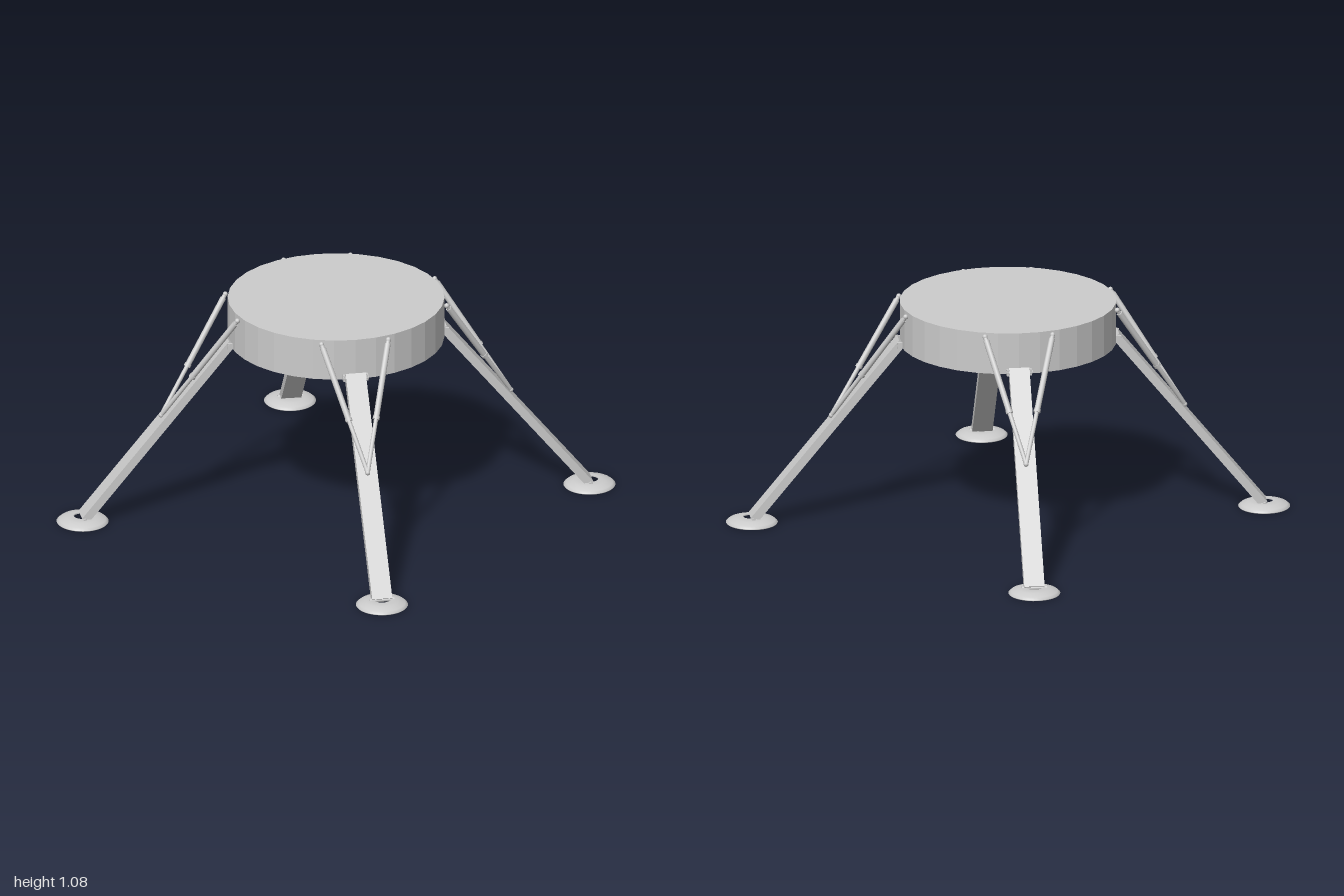
import * as THREE from 'three';

const smooth = new THREE.MeshStandardMaterial({ color: 0xcccccc });
const flat = new THREE.MeshStandardMaterial({ color: 0xcccccc, flatShading: true });

function add(parent, name, geometry, material = smooth) {
  const mesh = new THREE.Mesh(geometry, material);
  mesh.name = name;
  parent.add(mesh);
  return mesh;
}

// Round bar between two points
function bar(parent, name, a, b, radius, sides = 12) {
  const dir = b.clone().sub(a);
  const mesh = add(parent, name, new THREE.CylinderGeometry(radius, radius, dir.length(), sides));
  mesh.position.copy(a).lerp(b, 0.5);
  mesh.quaternion.setFromUnitVectors(new THREE.Vector3(0, 1, 0), dir.normalize());
  return mesh;
}

// Pin lying across the leg
function pin(parent, name, x, y, length, radius) {
  return bar(parent, name, new THREE.Vector3(x, y, -length / 2), new THREE.Vector3(x, y, length / 2), radius);
}

// Telescopic strut from the leg up to the body rim
function strut(side) {
  const group = new THREE.Group();
  group.name = 'strut';
  const low = new THREE.Vector3(0.852, 0.528, 0);
  const high = new THREE.Vector3(0.51, 1.065, side * 0.163);
  const at = (t) => low.clone().lerp(high, t);
  bar(group, 'strutRod', low, high, 0.0105);
  bar(group, 'strutSleeve', at(0.41), at(0.97), 0.0145);
  bar(group, 'strutCollar', at(0.4), at(0.425), 0.017);
  for (const end of [low, high]) {
    add(group, 'strutJoint', new THREE.SphereGeometry(0.0125, 12, 8)).position.copy(end);
  }
  return group;
}

// One complete leg, pointing along +x
function landingLeg() {
  const group = new THREE.Group();
  group.name = 'landingLeg';

  // Slanted beam, placed by the ends of its outer face
  const top = new THREE.Vector2(0.53, 0.91);
  const bottom = new THREE.Vector2(1.245, 0.038);
  const along = bottom.clone().sub(top);
  const thickness = 0.04;
  const angle = along.angle();
  const beam = add(group, 'legBeam', new THREE.BoxGeometry(along.length(), thickness, 0.098), flat);
  beam.rotation.z = angle;
  beam.position.set(
    (top.x + bottom.x) / 2 + Math.sin(angle) * thickness / 2,
    (top.y + bottom.y) / 2 - Math.cos(angle) * thickness / 2, 0);

  // Hinge at the body, with a cap on each end
  pin(group, 'hingePin', 0.53, 0.887, 0.125, 0.011);
  for (const s of [-1, 1]) {
    const lug = add(group, 'hingeLug', new THREE.BoxGeometry(0.05, 0.03, 0.01), flat);
    lug.position.set(0.515, 0.887, s * 0.056);
  }

  for (const s of [-1, 1]) group.add(strut(s));

  // Shallow dished foot with an open centre
  const profile = [
    [0.043, 0.024], [0.07, 0.019], [0.1, 0.009], [0.121, 0], [0.125, 0.005],
    [0.112, 0.016], [0.08, 0.027], [0.043, 0.033], [0.043, 0.024],
  ].map(([x, y]) => new THREE.Vector2(x, y));
  add(group, 'foot', new THREE.LatheGeometry(profile, 40)).position.x = 1.235;
  pin(group, 'anklePin', 1.232, 0.027, 0.12, 0.01);
  return group;
}

export function createModel() {
  const model = new THREE.Group();
  model.name = 'landerStand';

  // Drum body
  const body = add(model, 'body', new THREE.CylinderGeometry(0.52, 0.52, 0.205, 32), flat);
  body.position.y = 0.9775;

  // Four legs on the diagonals
  for (let i = 0; i < 4; i++) {
    const leg = landingLeg();
    leg.rotation.y = Math.PI / 4 + i * Math.PI / 2;
    model.add(leg);
  }
  return model;
}
